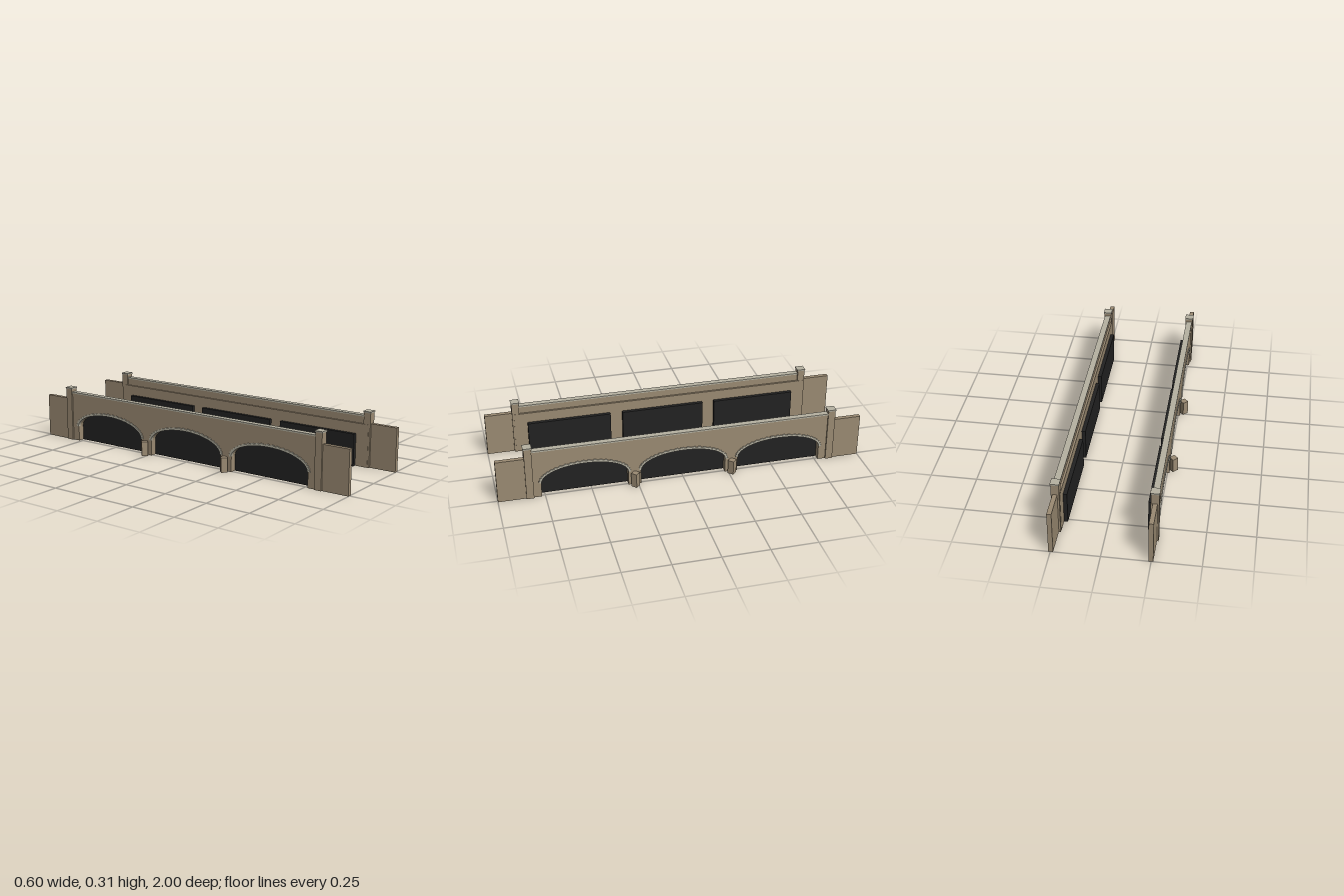
import * as THREE from 'three';

const wallMat = new THREE.MeshStandardMaterial({ color: 0x9b8b73 });
wallMat.name = 'tan masonry';
const stoneMat = new THREE.MeshStandardMaterial({ color: 0xb6b2a2 });
stoneMat.name = 'pale dressed stone';
const darkMat = new THREE.MeshStandardMaterial({ color: 0x222222 });
darkMat.name = 'dark infill';

const ARCHES = [-0.535, 0, 0.535];
const HALF = 0.233;    // half width of an opening
const SPRING = 0.085;  // height where the curve starts
const CROWN = 0.175;   // top of the opening
const INNER = 0.225, OUTER = 0.26;

function add(parent, name, geometry, material) {
  const mesh = new THREE.Mesh(geometry, material);
  mesh.name = name;
  parent.add(mesh);
  return mesh;
}

// Box given by its limits on each axis
function box(parent, name, material, x0, x1, y0, y1, z0, z1) {
  const mesh = add(parent, name, new THREE.BoxGeometry(x1 - x0, y1 - y0, z1 - z0), material);
  mesh.position.set((x0 + x1) / 2, (y0 + y1) / 2, (z0 + z1) / 2);
  return mesh;
}

// Extrudes a shape drawn along the wall through its thickness, from x0 to x1
function through(shape, x0, x1) {
  const g = new THREE.ExtrudeGeometry(shape, { depth: x1 - x0, bevelEnabled: false });
  return g.rotateY(Math.PI / 2).translate(x0, 0, 0);
}

// Point on the arch curve, grown outwards by "grow"
function archPoint(centre, angle, grow = 0) {
  return new THREE.Vector2(
    centre + (HALF + grow) * Math.cos(angle),
    SPRING + (CROWN - SPRING + grow) * Math.sin(angle));
}

// Wall elevation with three arches cut up from the ground
function wallShape(end, top) {
  const pts = [new THREE.Vector2(-end, 0)];
  for (const c of ARCHES) {
    pts.push(new THREE.Vector2(c - HALF, 0));
    for (let i = 0; i <= 24; i++) pts.push(archPoint(c, Math.PI * (1 - i / 24)));
    pts.push(new THREE.Vector2(c + HALF, 0));
  }
  pts.push(new THREE.Vector2(end, 0), new THREE.Vector2(end, top), new THREE.Vector2(-end, top));
  return new THREE.Shape(pts);
}

// Ring of alternating long and short arch stones
function ringShape(centre) {
  const n = 48, pts = [];
  for (let i = 0; i < n; i++) {
    const grow = i % 2 ? 0.01 : 0.014;
    pts.push(archPoint(centre, Math.PI * i / n, grow), archPoint(centre, Math.PI * (i + 1) / n, grow));
  }
  for (let i = n; i >= 0; i--) pts.push(archPoint(centre, Math.PI * i / n, -0.001));
  return new THREE.Shape(pts);
}

function buildSide() {
  const side = new THREE.Group();

  // Main wall, parapet and coping
  add(side, 'archedWall', through(wallShape(0.84, 0.235), INNER, OUTER), wallMat);
  box(side, 'parapet', wallMat, 0.236, OUTER, 0.235, 0.275, -0.82, 0.82);
  box(side, 'coping', stoneMat, 0.231, 0.264, 0.274, 0.282, -0.812, 0.812);

  // Arch stones and the dark panels behind the openings
  for (const c of ARCHES) {
    add(side, 'archRing', through(ringShape(c), 0.25, 0.265), stoneMat);
    box(side, 'archInfill', darkMat, 0.205, INNER, 0, 0.178, c - HALF, c + HALF);
  }

  for (const s of [-1, 1]) {
    // End pillar with flared cap
    const z = s * 0.83;
    box(side, 'pillar', wallMat, 0.2265, 0.268, 0, 0.298, z - 0.02, z + 0.02);
    const capGeo = new THREE.CylinderGeometry(0.047 / Math.SQRT2, 0.044 / Math.SQRT2, 0.009, 4)
      .rotateY(Math.PI / 4).toNonIndexed();
    capGeo.computeVertexNormals();
    add(side, 'pillarCap', capGeo, stoneMat).position.set(0.2475, 0.3015, z);

    // Lower wing wall beyond the pillar
    box(side, 'wingWall', wallMat, 0.236, OUTER, 0, 0.24, Math.min(s * 0.84, s), Math.max(s * 0.84, s));

    // Diamond cutwater in front of each pier
    const cutwater = box(side, 'cutwater', wallMat, -0.017, 0.017, 0, 0.08, -0.017, 0.017);
    cutwater.rotation.y = Math.PI / 4;
    cutwater.position.set(0.278, 0.04, s * 0.2675);
  }
  return side;
}

export function createModel() {
  const model = new THREE.Group();
  model.name = 'archedBridgeWalls';
  const left = buildSide();
  left.name = 'leftWall';
  const right = buildSide();
  right.name = 'rightWall';
  right.rotation.y = Math.PI;
  model.add(left, right);
  return model;
}
